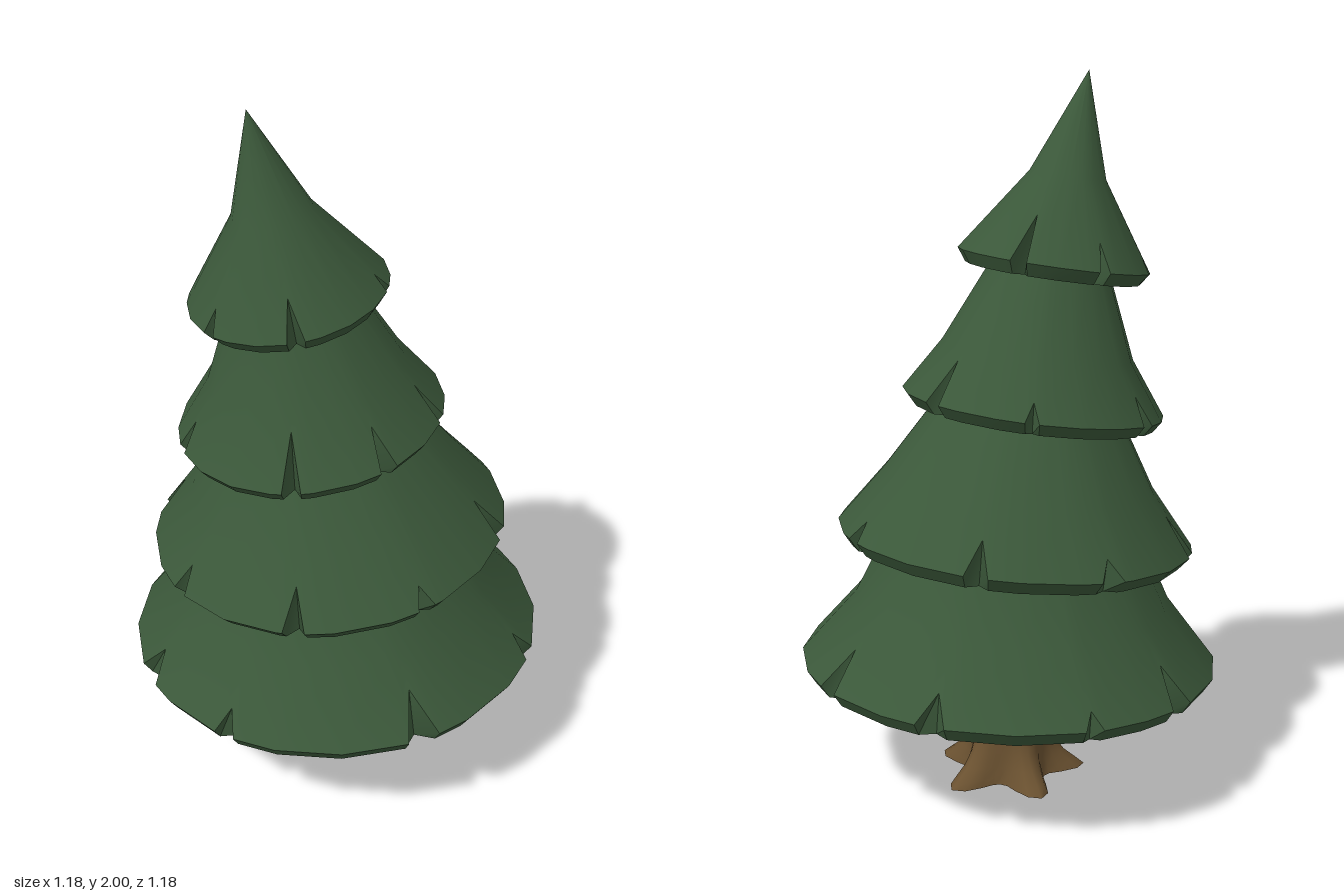
import * as THREE from 'three';
import { toCreasedNormals } from 'three/addons/utils/BufferGeometryUtils.js';

const SIDES = 20;
const rad = THREE.MathUtils.degToRad;

// Joins rings of points (listed from the underside outwards and up) into a surface
function loft(rings, crease) {
  const pos = [];
  const tri = (a, b, c) => {
    const area = b.clone().sub(a).cross(c.clone().sub(a)).length();
    if (area > 1e-8) for (const p of [a, b, c]) pos.push(p.x, p.y, p.z);
  };
  for (let i = 0; i < rings.length - 1; i++) {
    const lo = rings[i], hi = rings[i + 1], n = lo.length;
    for (let j = 0; j < n; j++) {
      const k = (j + 1) % n;
      tri(lo[j], lo[k], hi[k]);
      tri(lo[j], hi[k], hi[j]);
    }
  }
  const geo = new THREE.BufferGeometry();
  geo.setAttribute('position', new THREE.Float32BufferAttribute(pos, 3));
  return toCreasedNormals(geo, rad(crease));
}

// One tier of branches. Rings are [radius, height, lean]: lean shifts towards -x and +z.
// Notches are [start angle, end angle, depth], in degrees from +z towards +x.
function tierGeometry({ tilt, low, rim, mid, top, notches }) {
  const angles = [];
  for (let i = 0; i < SIDES; i++) {
    const a = (i * 360) / SIDES;
    const taken = notches.some(([s, e]) => {
      const d = (a - s + 720) % 360;
      return d < e - s + 1.5 || d > 358.5;
    });
    if (!taken) angles.push({ a, depth: 0 });
  }
  for (const [s, e, depth] of notches) {
    angles.push({ a: (s + 360) % 360, depth: 0 });
    angles.push({ a: ((s + e) / 2 + 360) % 360, depth });
    angles.push({ a: (e + 360) % 360, depth: 0 });
  }
  angles.sort((p, q) => p.a - q.a);

  const point = ([r, y, lean], a) => {
    const x = r * Math.sin(rad(a)), z = r * Math.cos(rad(a));
    return new THREE.Vector3(x - lean, y + tilt * (x - z), z + lean);
  };
  const centre = [0, low[1], low[2]];
  const ring = (spec) => angles.map(({ a }) => point(spec, a));
  // The notch pulls the rim up the slope and the lower edge inwards
  const rimRing = angles.map(({ a, depth }) =>
    point(rim, a).lerp(point(mid, a), depth / (rim[0] - mid[0])));
  const lowRing = angles.map(({ a, depth }) =>
    point(low, a).lerp(point(centre, a), (depth * 0.45) / low[0]));
  return loft([ring(centre), lowRing, rimRing, ring(mid), ring(top)], 35);
}

const TIERS = [
  {
    name: 'bottomBranches', tilt: 0.028,
    low: [0.568, 0.325, 0], rim: [0.592, 0.362, 0], mid: [0.445, 0.54, 0.008], top: [0.365, 0.71, 0.012],
    notches: [[172, 180, 0.06], [137, 144, 0.085], [84, 90, 0.05], [36, 45, 0.09],
      [-18, -12, 0.05], [-54, -44, 0.06], [-116, -108, 0.08], [-144, -139, 0.035]],
  },
  {
    name: 'lowerBranches', tilt: 0.07,
    low: [0.47, 0.688, 0.012], rim: [0.5, 0.725, 0.015], mid: [0.378, 0.885, 0.022], top: [0.26, 1.08, 0.042],
    notches: [[180.5, 188, 0.065], [132, 138, 0.04], [88, 95, 0.08], [45, 51, 0.04],
      [2, 9, 0.075], [-42, -36, 0.05], [-90, -83, 0.08], [-137, -129, 0.04]],
  },
  {
    name: 'upperBranches', tilt: 0.098,
    low: [0.34, 1.065, 0.055], rim: [0.365, 1.098, 0.055], mid: [0.265, 1.245, 0.065], top: [0.165, 1.47, 0.092],
    notches: [[192, 198, 0.035], [144, 152, 0.08], [88, 94, 0.07], [47, 55, 0.07],
      [5, 13, 0.09], [-59, -52, 0.05], [-110, -103, 0.05]],
  },
  {
    name: 'treetop', tilt: 0.112,
    low: [0.24, 1.455, 0.096], rim: [0.265, 1.49, 0.1], mid: [0.105, 1.72, 0.13], top: [0, 2, 0.175],
    notches: [[169, 179, 0.085], [90, 96, 0.03], [17, 27, 0.065], [-36, -28, 0.04],
      [-88, -82, 0.03], [-138, -131, 0.05]],
  },
];

// Trunk flaring into five pointed roots
function trunkGeometry() {
  const n = 40;
  // [height, radius, root length]
  const levels = [
    [0, 0, 0], [0, 0.118, 0.104], [0.02, 0.114, 0.085], [0.05, 0.11, 0.052],
    [0.09, 0.107, 0.026], [0.14, 0.104, 0.01], [0.22, 0.1, 0.002], [0.36, 0.092, 0],
  ];
  return loft(levels.map(([y, r, root]) =>
    Array.from({ length: n }, (_, i) => {
      const a = (i / n) * Math.PI * 2;
      const spike = Math.pow((1 + Math.cos(a * 5)) / 2, 1.4);
      const t = a + rad(5), d = r + root * spike;
      return new THREE.Vector3(d * Math.sin(t), y, d * Math.cos(t));
    })), 50);
}

export function createModel() {
  const needles = new THREE.MeshStandardMaterial({ color: 0x3b583a });
  needles.name = 'needleGreen';
  const bark = new THREE.MeshStandardMaterial({ color: 0x6a5130 });
  bark.name = 'barkBrown';

  const tree = new THREE.Group();
  tree.name = 'tree';
  const add = (name, geometry, material) => {
    const mesh = new THREE.Mesh(geometry, material);
    mesh.name = name;
    tree.add(mesh);
  };
  add('trunk', trunkGeometry(), bark);
  for (const tier of TIERS) add(tier.name, tierGeometry(tier), needles);
  return tree;
}
